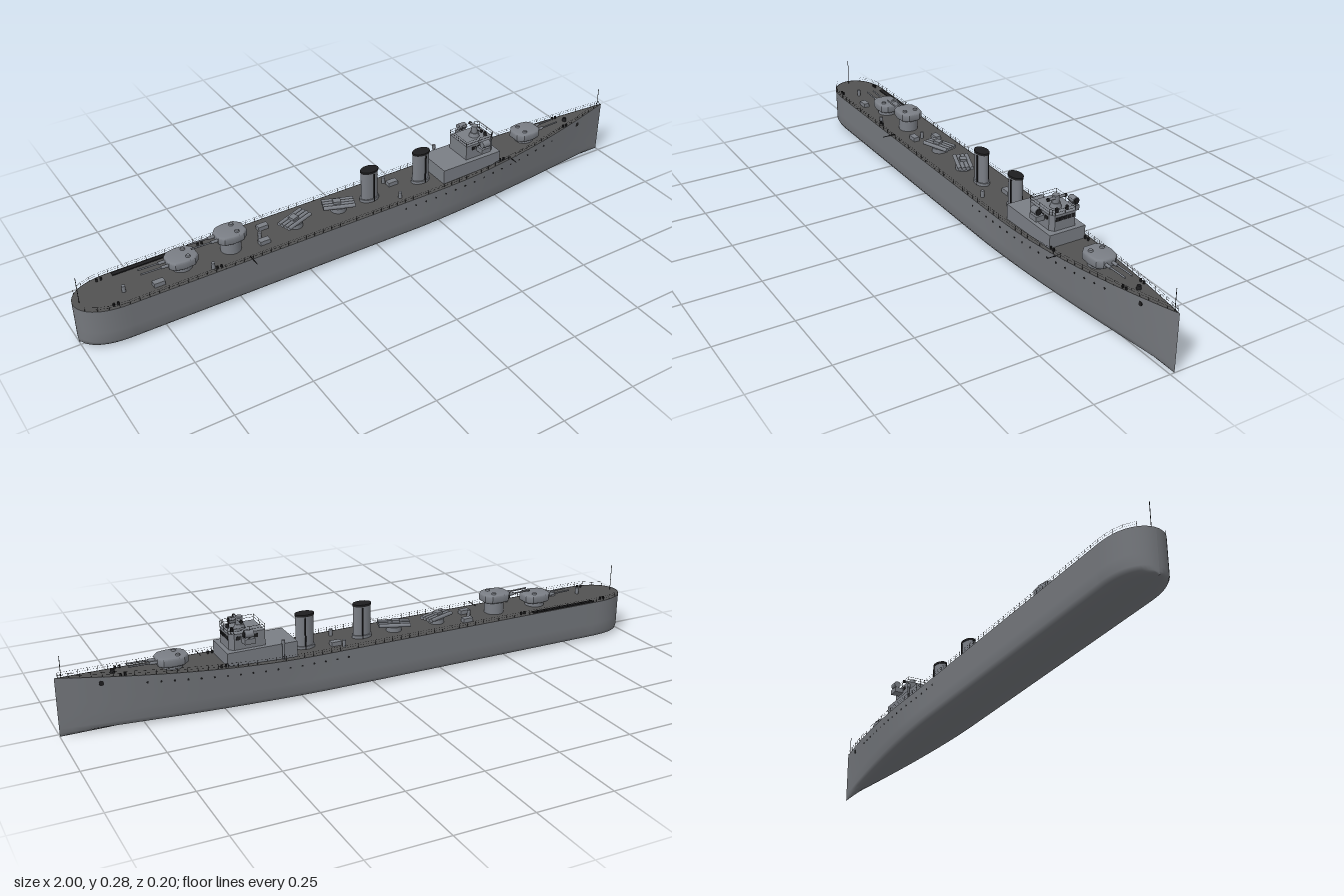
import * as THREE from 'three';
import { mergeGeometries, mergeVertices, toCreasedNormals } from 'three/addons/utils/BufferGeometryUtils.js';

const mat = (name, color, side = THREE.FrontSide) => {
  const m = new THREE.MeshStandardMaterial({ color, side });
  m.name = name;
  return m;
};
const hullGrey = mat('hull grey', 0x74777c, THREE.DoubleSide);
const upperGrey = mat('superstructure grey', 0x7a7e85);
const deckGrey = mat('dark deck', 0x525252, THREE.DoubleSide);
const black = mat('black fittings', 0x1e1e20);

const HALF = 0.086;
const deckY = x => 0.14 + 0.047 * Math.pow(Math.max(0, (x - 0.2) / 0.8), 1.6);
// Half width at station x; s runs from 0 at the bilge to 1 at the deck edge
function halfWidth(x, s = 1) {
  if (x < -0.85) return HALF * Math.sqrt(Math.max(0, 1 - Math.pow((-0.85 - x) / 0.15, 2.5)));
  const taper = (start, p) => 1 - Math.pow(Math.max(0, (x - start) / (1 - start)), p);
  return HALF * THREE.MathUtils.lerp(taper(0.15, 1.5), taper(0.3, 1.75), s);
}
const stations = [];
for (let i = 0; i <= 16; i++) stations.push(-0.85 - 0.15 * Math.cos(i / 16 * Math.PI / 2));
for (let i = 1; i <= 46; i++) stations.push(-0.85 + 1.85 * i / 46);

// Skin a grid of points, rows along the ship
function loft(rows) {
  const n = rows[0].length, pos = rows.flat(2), idx = [];
  for (let i = 0; i < rows.length - 1; i++) for (let j = 0; j < n - 1; j++) {
    const a = i * n + j, b = a + n;
    idx.push(a, a + 1, b, a + 1, b + 1, b);
  }
  const g = new THREE.BufferGeometry();
  g.setAttribute('position', new THREE.Float32BufferAttribute(pos, 3));
  g.setIndex(idx);
  g.computeVertexNormals();
  return g;
}
const box = (w, h, d, x, y, z) => new THREE.BoxGeometry(w, h, d).translate(x, y, z);
const cyl = (r, h, x, y, z, seg = 12, r2 = r) => new THREE.CylinderGeometry(r2, r, h, seg).translate(x, y, z);
// Thin rod between two points
function rod(a, b, r = 0.001, seg = 5) {
  const d = new THREE.Vector3().subVectors(b, a);
  const q = new THREE.Quaternion().setFromUnitVectors(new THREE.Vector3(0, 1, 0), d.clone().normalize());
  return new THREE.CylinderGeometry(r, r, d.length(), seg).applyQuaternion(q)
    .translate((a.x + b.x) / 2, (a.y + b.y) / 2, (a.z + b.z) / 2);
}
const V = (x, y, z) => new THREE.Vector3(x, y, z);
function add(parent, name, geos, material) {
  const list = [].concat(geos).map(g => (g.index ? g.toNonIndexed() : g));
  const m = new THREE.Mesh(list.length > 1 ? mergeGeometries(list) : [].concat(geos)[0], material);
  m.name = name;
  parent.add(m);
  return m;
}
// Outline in plan with cut corners, raised to a height
function plan(pts, h, bevel = 0) {
  const s = new THREE.Shape(pts.map(p => new THREE.Vector2(p[0], p[1])));
  const g = new THREE.ExtrudeGeometry(s, {
    depth: h - 2 * bevel, bevelEnabled: bevel > 0, bevelSize: bevel, bevelThickness: bevel, bevelOffset: -bevel, bevelSegments: 3
  });
  return g.translate(0, 0, bevel).rotateX(-Math.PI / 2);
}

function turret(parent, name, x, deck, y, facing) {
  const t = new THREE.Group();
  t.name = name;
  t.position.set(x, y, 0);
  t.rotation.y = facing;
  add(t, 'barbette', cyl(0.033, y - deck + 0.006, 0, (deck - y) / 2, 0, 24), upperGrey);
  const half = [[0.048, 0.02], [0.034, 0.036], [0.005, 0.042], [-0.03, 0.038], [-0.048, 0.02]];
  const outline = [...half, ...half.map(([a, b]) => [a, -b]).reverse()].reverse();
  add(t, 'gunhouse', toCreasedNormals(plan(outline, 0.029, 0.006), 0.6), upperGrey);
  add(t, 'roofHatches', [-1, 1].map(s => cyl(0.008, 0.006, -0.015, 0.031, s * 0.02, 12, 0.006)), upperGrey);
  for (const s of [-1, 1]) {
    add(t, 'gunBarrel', rod(V(0.03, 0.014, s * 0.012), V(0.135, 0.017, s * 0.012), 0.0028, 10), upperGrey);
    add(t, 'gunSleeve', rod(V(0.03, 0.014, s * 0.012), V(0.07, 0.015, s * 0.012), 0.005, 10), upperGrey);
  }
  parent.add(t);
}

function launcher(parent, x, angle) {
  const g = new THREE.Group();
  g.name = 'torpedoLauncher';
  g.position.set(x, 0.14, 0);
  g.rotation.y = angle;
  add(g, 'turntable', cyl(0.026, 0.016, 0, 0.008, 0, 20), upperGrey);
  for (let i = -1.5; i < 2; i++)
    add(g, 'tube', rod(V(-0.052, 0.023, i * 0.0135), V(0.052, 0.023, i * 0.0135), 0.0065, 12), upperGrey);
  add(g, 'aimingCabin', box(0.025, 0.01, 0.022, -0.005, 0.031, 0), upperGrey);
  parent.add(g);
}

function funnel(parent, x) {
  const g = new THREE.Group();
  g.name = 'funnel';
  g.position.set(x, 0.135, 0);
  add(g, 'stack', new THREE.CylinderGeometry(1, 1, 0.115, 28).scale(0.03, 1, 0.019).translate(0, 0.0575, 0), upperGrey);
  add(g, 'cap', new THREE.CylinderGeometry(1, 1, 0.007, 28).scale(0.032, 1, 0.021).translate(0, 0.115, 0), black);
  add(g, 'base', new THREE.CylinderGeometry(1, 1, 0.014, 28).scale(0.034, 1, 0.023).translate(0, 0.007, 0), upperGrey);
  for (const s of [-1, 1]) add(g, 'steamPipe', rod(V(0.006, 0, s * 0.021), V(0.006, 0.108, s * 0.021), 0.0025, 8), black);
  parent.add(g);
}

export function createModel() {
  const root = new THREE.Group();
  root.name = 'warship';
  const ship = new THREE.Group();
  ship.name = 'ship';
  ship.position.z = -0.0145;
  root.add(ship);

  // Hull: shallow V bottom, rounded bilge, upright sides
  const section = [[0, 0], [0.5, 0.006], [0.9, 0.011], [1, 0.025], [1, 0.06], [1, 0.1]];
  const ring = (x, side) => {
    const d = deckY(x);
    return [...section, [1, d]].map(([w, y]) => [x, y, side * w * halfWidth(x, y / d)]);
  };
  const skin = stations.map(x => [...ring(x, -1).reverse(), ...ring(x, 1).slice(1)]);
  add(ship, 'hull', mergeVertices(loft(skin)), hullGrey);
  add(ship, 'deck', loft(stations.map(x => [1, 0.5, 0, -0.5, -1].map(k => [x, deckY(x) - 0.001, k * halfWidth(x)]))), deckGrey);

  // Hull details
  const onHull = (x, y, s, r) => {
    const z = s * halfWidth(x, y / deckY(x));
    return rod(V(x, y, z - 0.001), V(x, y, z + 0.001), r, 10);
  };
  for (const s of [-1, 1]) {
    const holes = [];
    for (let x = 0.1; x < 0.78; x += 0.04) holes.push(onHull(x, deckY(x) - 0.025, s, 0.0032));
    add(ship, 'portholes', holes, black);
    add(ship, 'hawsePipe', onHull(0.87, 0.155, s, 0.008), black);
  }

  // Guard rails
  for (const s of [-1, 1]) {
    const rails = [], xs = [];
    for (let i = 0; i <= 64; i++) xs.push(-0.98 + i * 1.97 / 64);
    const at = (x, h) => V(x, deckY(x) + h, s * halfWidth(x) * 0.98);
    xs.forEach((x, i) => {
      rails.push(rod(at(x, 0), at(x, 0.015), 0.0006, 4));
      if (i) for (const h of [0.008, 0.015]) rails.push(rod(at(xs[i - 1], h), at(x, h), 0.0003, 3));
    });
    add(ship, 'guardRail', rails, black);
  }

  // Flagstaffs and boat booms
  add(ship, 'sternStaff', rod(V(-0.98, 0.135, 0), V(-0.98, 0.23, 0), 0.001), black);
  add(ship, 'bowStaff', rod(V(0.98, 0.18, 0), V(0.98, 0.253, 0), 0.001), black);
  add(ship, 'boatBooms', [
    rod(V(-0.46, 0.141, 0.07), V(-0.46, 0.141, 0.1165), 0.0014),
    rod(V(0.54, 0.15, 0.055), V(0.54, 0.15, 0.1), 0.0014)], black);

  // Armament
  turret(ship, 'forwardTurret', 0.65, 0.15, 0.169, 0);
  turret(ship, 'upperAftTurret', -0.49, 0.138, 0.181, Math.PI);
  turret(ship, 'lowerAftTurret', -0.655, 0.138, 0.154, Math.PI);
  launcher(ship, -0.265, 0.35);
  launcher(ship, -0.105, -0.35);
  funnel(ship, 0.0125);
  funnel(ship, 0.2135);

  // Deckhouse and bridge
  const house = new THREE.Group();
  house.name = 'superstructure';
  add(house, 'deckhouse', box(0.23, 0.055, 0.126, 0.38, 0.1635, 0), upperGrey);
  const br = [[0.365, -0.047], [0.465, -0.047], [0.48, -0.036], [0.48, 0.036], [0.465, 0.047], [0.365, 0.047]];
  add(house, 'bridge', plan(br, 0.054).translate(0, 0.188, 0), upperGrey);
  const panes = [];
  for (let i = -2; i <= 2; i++) panes.push(box(0.002, 0.012, 0.0115, 0.4805, 0.228, i * 0.0138));
  for (const s of [-1, 1]) for (let i = 0; i < 4; i++) panes.push(box(0.014, 0.012, 0.002, 0.395 + i * 0.019, 0.228, s * 0.0472));
  add(house, 'bridgeWindows', panes, black);
  add(house, 'bridgeRail', br.flatMap(([x, z], i) => {
    const [a, b] = br[(i + 1) % br.length];
    return [rod(V(x, 0.242, z), V(x, 0.26, z), 0.0008, 4),
      rod(V((x + a) / 2, 0.242, (z + b) / 2), V((x + a) / 2, 0.26, (z + b) / 2), 0.0008, 4),
      ...[0.251, 0.26].map(y => rod(V(x, y, z), V(a, y, b), 0.0006, 4))];
  }), black);
  // Searchlights on their side platforms
  for (const s of [-1, 1]) {
    add(house, 'searchlightPlatform', box(0.035, 0.017, 0.03, 0.425, 0.223, s * 0.062), upperGrey);
    add(house, 'searchlightStand', cyl(0.004, 0.01, 0.425, 0.234, s * 0.067), black);
    add(house, 'searchlight', rod(V(0.412, 0.245, s * 0.067), V(0.44, 0.245, s * 0.067), 0.0115, 16), upperGrey);
    add(house, 'searchlightLens', rod(V(0.44, 0.245, s * 0.067), V(0.442, 0.245, s * 0.067), 0.0095, 16), black);
  }
  // Rangefinder and director
  add(house, 'directorBase', cyl(0.018, 0.014, 0.43, 0.249, 0, 20, 0.014), upperGrey);
  add(house, 'directorHouse', cyl(0.011, 0.026, 0.43, 0.268, 0, 16), upperGrey);
  add(house, 'rangefinder', rod(V(0.435, 0.273, -0.03), V(0.435, 0.273, 0.03), 0.0042, 12), upperGrey);
  add(house, 'rangefinderEnds', [-1, 1].map(s => rod(V(0.435, 0.273, s * 0.028), V(0.435, 0.273, s * 0.034), 0.0055, 12)), black);
  add(house, 'compassStands', [-1, 1].map(s => cyl(0.005, 0.012, 0.462, 0.248, s * 0.018)), black);
  ship.add(house);

  // Deck fittings
  add(ship, 'sideHatchway', box(0.25, 0.004, 0.014, -0.725, 0.1405, -0.073), black);
  add(ship, 'deckLockers', [[-0.75, 0.045], [-0.39, 0.03], [-0.36, -0.04], [0.12, -0.03]].map(([x, z]) =>
    box(0.035, 0.014, 0.02, x, 0.146, z)), upperGrey);
  add(ship, 'ventilators', [[0.1, 0.05], [0.1, -0.052], [-0.39, 0], [-0.58, 0.062], [-0.85, 0.02]].map(([x, z]) =>
    cyl(0.006, 0.022, x, 0.15, z)), upperGrey);
  add(ship, 'ventPost', [cyl(0.0035, 0.06, 0.315, 0.17, -0.057 - 0.012), cyl(0.006, 0.012, 0.315, 0.2, -0.069)], upperGrey);
  add(ship, 'bollards', [-0.9, -0.57, 0.5, 0.8].flatMap(x => [-1, 1].flatMap(s => [0, 0.014].map(d =>
    cyl(0.0035, 0.009, x + d, deckY(x) + 0.004, s * halfWidth(x) * 0.8, 8)))), black);
  add(ship, 'capstan', [cyl(0.008, 0.012, 0.83, deckY(0.83) + 0.005, 0, 12, 0.006)], black);
  return root;
}
